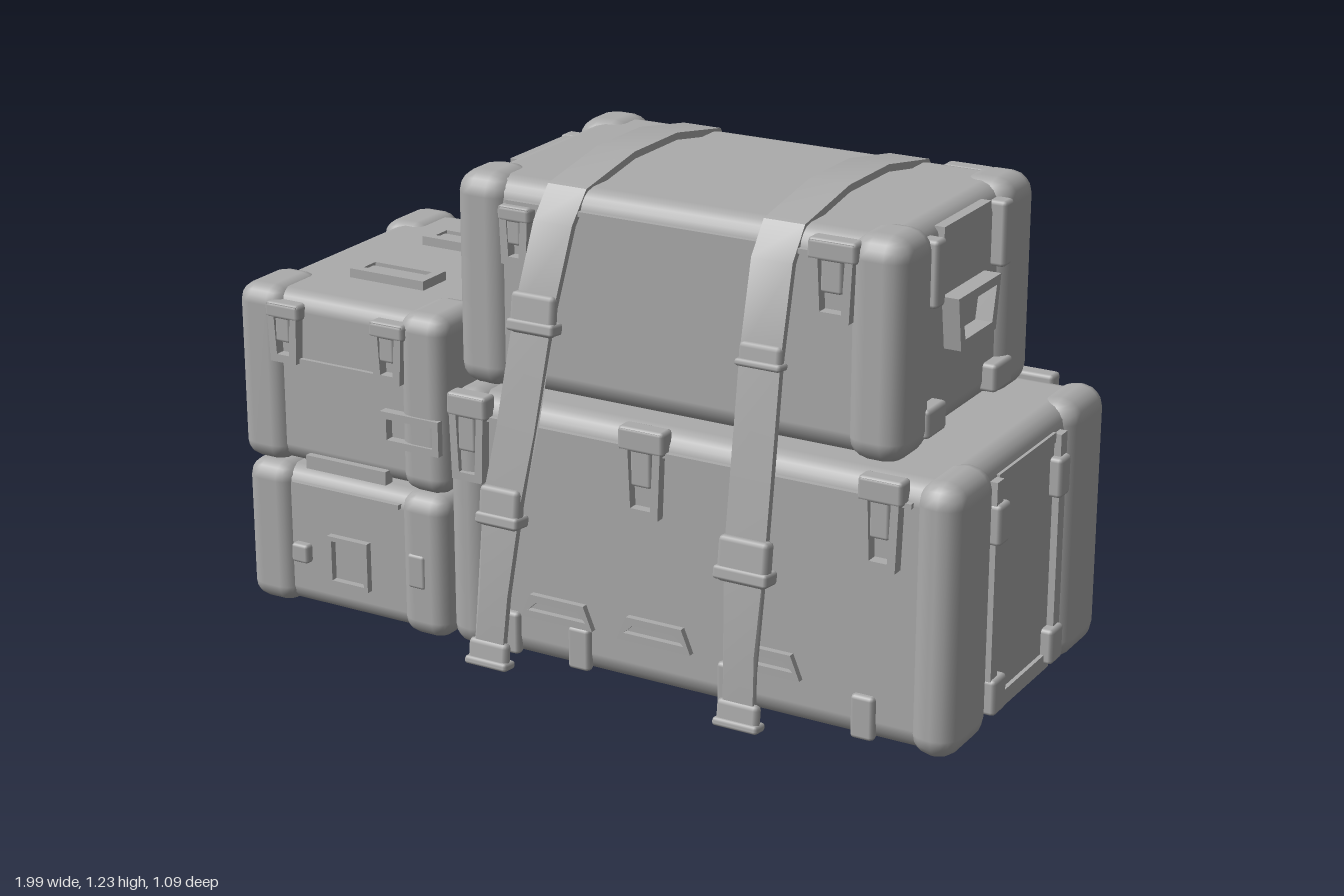
import * as THREE from 'three';
import { RoundedBoxGeometry } from 'three/addons/geometries/RoundedBoxGeometry.js';
import { toCreasedNormals } from 'three/addons/utils/BufferGeometryUtils.js';

const grey = new THREE.MeshStandardMaterial({ color: 0xababab });
grey.name = 'case grey';

function add(parent, name, geometry, x = 0, y = 0, z = 0) {
  const mesh = new THREE.Mesh(geometry, grey);
  mesh.name = name;
  mesh.position.set(x, y, z);
  parent.add(mesh);
  return mesh;
}

// Box given by its limits, with rounded edges when r > 0
function block(parent, name, [x0, x1], [y0, y1], [z0, z1], r = 0) {
  const w = x1 - x0, h = y1 - y0, d = z1 - z0;
  const geometry = r ? new RoundedBoxGeometry(w, h, d, 2, r) : new THREE.BoxGeometry(w, h, d);
  return add(parent, name, geometry, (x0 + x1) / 2, (y0 + y1) / 2, (z0 + z1) / 2);
}

// Trapezoid frame with an opening, centred in depth
function frameGeometry(top, bottom, h, border, depth) {
  const outline = (Path, b) => {
    const p = new Path();
    p.moveTo(-bottom / 2 + b, -h / 2 + b);
    p.lineTo(bottom / 2 - b, -h / 2 + b);
    p.lineTo(top / 2 - b, h / 2 - b);
    p.lineTo(-top / 2 + b, h / 2 - b);
    p.closePath();
    return p;
  };
  const shape = outline(THREE.Shape, 0);
  shape.holes.push(outline(THREE.Path, border));
  const g = new THREE.ExtrudeGeometry(shape, { depth, bevelEnabled: false });
  return g.translate(0, 0, -depth / 2);
}

// Case shell: recessed core, four corner bumpers and a lid lip
function makeCase(root, name, [x0, x1], [y0, y1], d, px, pz, r, lipY) {
  const g = new THREE.Group();
  g.name = name;
  root.add(g);
  const i = 0.028;
  block(g, 'shell', [x0 + i, x1 - i], [y0 + 0.006, y1 - 0.008], [-d + 0.018, d - 0.018], r);
  for (const s of [1, -1]) {
    const zs = s > 0 ? [d - pz, d] : [-d, -d + pz];
    block(g, 'cornerBumper', [x0, x0 + px], [y0, y1], zs, r);
    block(g, 'cornerBumper', [x1 - px, x1], [y0, y1], zs, r);
    const zf = s * (d - 0.015);
    block(g, 'lidLip', [x0 + px, x1 - px], [lipY, lipY + 0.012], [zf - 0.008, zf + 0.008]);
  }
  return g;
}

// Latch with a raised frame, tongue and hinge clip, on front and back
function latches(g, x, y0, y1, z, w = 0.1) {
  const h = y1 - y0;
  for (const s of [1, -1]) {
    add(g, 'latchFrame', frameGeometry(w, w * 0.85, h, 0.02, 0.03), x, y0 + h / 2, s * (z - 0.008));
    add(g, 'latchTongue', new RoundedBoxGeometry(w * 0.5, h * 0.55, 0.04, 1, 0.008), x, y0 + h * 0.62, s * (z - 0.014));
    add(g, 'latchClip', new RoundedBoxGeometry(w * 1.12, h * 0.28, 0.05, 1, 0.01), x, y1 - h * 0.12, s * (z - 0.016));
  }
}

function lerpTable(table, y) {
  for (let i = 0; i < table.length - 1; i++) {
    const [a, va] = table[i], [b, vb] = table[i + 1];
    if (y <= b) return va + (vb - va) * Math.max(0, (y - a) / (b - a));
  }
  return table[table.length - 1][1];
}

// Strap draped over the stack: a z-y band extruded in x, then shifted sideways by height
function strap(root, drift, buckles) {
  const g = new THREE.Group();
  g.name = 'strap';
  root.add(g);
  const half = [[0.518, 0.05], [0.512, 0.22], [0.488, 0.46], [0.462, 0.63], [0.42, 0.91],
    [0.368, 1.12], [0.315, 1.19], [0.1, 1.228]];
  const path = [...half, ...half.slice().reverse().map(([z, y]) => [-z, y])]
    .map(([z, y]) => new THREE.Vector2(z, y));
  const t = 0.009;
  const side = (sign) => path.map((p, i) => {
    const a = path[Math.max(i - 1, 0)], b = path[Math.min(i + 1, path.length - 1)];
    const n = b.clone().sub(a).normalize();
    return new THREE.Vector2(p.x + n.y * t * sign, p.y - n.x * t * sign);
  });
  const shape = new THREE.Shape([...side(1), ...side(-1).reverse()]);
  const geo = new THREE.ExtrudeGeometry(shape, { depth: 1, bevelEnabled: false });
  geo.translate(0, 0, -0.5).rotateY(-Math.PI / 2);
  const p = geo.attributes.position;
  for (let i = 0; i < p.count; i++) {
    const y = p.getY(i), w = y < 0.4 ? 0.078 : 0.105;
    p.setX(i, lerpTable(drift, y) + p.getX(i) * w);
  }
  geo.computeVertexNormals();
  add(g, 'strapBand', toCreasedNormals(geo, 0.5));
  const table = half.map(([z, y]) => [y, z]);
  for (const s of [1, -1]) for (const [y, w, h, d] of buckles) {
    const x = lerpTable(drift, y), z = lerpTable(table, y) + 0.004;
    const b = add(g, 'buckle', new RoundedBoxGeometry(w, h, d, 1, 0.012), x, y, s * z);
    b.rotation.x = -s * 0.12;
    const bar = add(g, 'buckleBar', new RoundedBoxGeometry(w * 1.08, h * 0.3, d + 0.02, 1, 0.008), x, y - h * 0.3, s * z);
    bar.rotation.x = -s * 0.12;
  }
}

export function createModel() {
  const root = new THREE.Group();
  root.name = 'stackedCases';

  // Large lower case
  const lower = makeCase(root, 'largeCase', [-0.375, 0.99], [0.01, 0.68], 0.425, 0.12, 0.215, 0.055, 0.615);
  latches(lower, 0.18, 0.46, 0.675, 0.425, 0.11);
  latches(lower, 0.8, 0.46, 0.675, 0.43, 0.1);
  latches(lower, -0.3, 0.46, 0.675, 0.43, 0.1);
  for (const s of [1, -1]) {
    for (const x of [0.21, -0.06, 0.5]) {
      add(lower, 'footGrip', frameGeometry(0.15, 0.2, 0.06, 0.018, 0.03), x, 0.165, s * 0.408);
    }
    for (const x of [-0.2, 0.0, 0.41, 0.76]) {
      add(lower, 'baseClip', new RoundedBoxGeometry(0.06, 0.11, 0.03, 1, 0.01), x, 0.08, s * 0.408);
    }
    // End rails with clips
    for (const x of [0.962, -0.347]) {
      add(lower, 'endRail', new THREE.BoxGeometry(0.035, 0.57, 0.035), x, 0.34, s * 0.18);
      add(lower, 'railClip', new RoundedBoxGeometry(0.06, 0.1, 0.06, 1, 0.01), x, 0.52, s * 0.172);
      add(lower, 'railFoot', new RoundedBoxGeometry(0.06, 0.09, 0.07, 1, 0.01), x, 0.09, s * 0.165);
    }
  }
  block(lower, 'endLip', [0.94, 0.967], [0.605, 0.63], [-0.16, 0.16]);
  block(lower, 'endSill', [0.93, 0.972], [0.03, 0.07], [-0.16, 0.16]);

  // Upper case
  const upper = makeCase(root, 'upperCase', [-0.38, 0.812], [0.672, 1.205], 0.36, 0.15, 0.175, 0.055, 1.14);
  latches(upper, 0.635, 1.0, 1.185, 0.363, 0.11);
  latches(upper, -0.2, 1.0, 1.14, 0.363, 0.08);
  for (const x of [0.8, -0.368]) {
    const handle = add(upper, 'endHandle', frameGeometry(0.23, 0.19, 0.13, 0.022, 0.055), x, 0.945, -0.008);
    handle.rotation.y = Math.PI / 2;
    for (const s of [1, -1]) {
      add(upper, 'endClip', new RoundedBoxGeometry(0.05, 0.07, 0.1, 1, 0.01), x - 0.006, 0.742, s * 0.182);
      add(upper, 'endLatch', new RoundedBoxGeometry(0.05, 0.16, 0.05, 1, 0.01), x - 0.006, 1.09, s * 0.182);
    }
    add(upper, 'endLip', new THREE.BoxGeometry(0.03, 0.05, 0.25), x - Math.sign(x) * 0.02, 1.155, 0);
  }

  // Small cases, one on the other
  const smallTop = makeCase(root, 'smallUpperCase', [-1, -0.38], [0.383, 0.842], 0.41, 0.14, 0.2, 0.045, 0.66);
  const smallBase = makeCase(root, 'smallLowerCase', [-0.99, -0.385], [0.003, 0.38], 0.415, 0.14, 0.2, 0.045, 0.33);
  latches(smallTop, -0.85, 0.66, 0.81, 0.412, 0.09);
  latches(smallTop, -0.54, 0.66, 0.81, 0.412, 0.09);
  for (const s of [1, -1]) {
    // Lid grips
    const grip = add(smallTop, 'lidGrip', frameGeometry(0.22, 0.22, 0.1, 0.025, 0.035), -0.68, 0.84, s * 0.16);
    grip.rotation.x = -Math.PI / 2;
    add(smallTop, 'lidGripPad', new RoundedBoxGeometry(0.19, 0.03, 0.05, 1, 0.008), -0.68, 0.836, s * 0.16);
    add(smallTop, 'baseSill', new THREE.BoxGeometry(0.24, 0.035, 0.03), -0.68, 0.405, s * 0.393);
    add(smallTop, 'sideGrip', frameGeometry(0.17, 0.17, 0.09, 0.018, 0.03), -0.48, 0.54, s * 0.402);
    // Front plates
    add(smallBase, 'frontPlate', frameGeometry(0.12, 0.12, 0.13, 0.012, 0.03), -0.68, 0.155, s * 0.4);
    add(smallBase, 'smallClip', new RoundedBoxGeometry(0.05, 0.05, 0.03, 1, 0.008), -0.825, 0.155, s * 0.405);
    add(smallBase, 'smallClip', new RoundedBoxGeometry(0.05, 0.09, 0.03, 1, 0.008), -0.47, 0.18, s * 0.405);
    for (const [g, y] of [[smallTop, 0.7], [smallBase, 0.24]]) {
      add(g, 'endClip', new RoundedBoxGeometry(0.03, 0.12, 0.05, 1, 0.008), -0.973, y, s * 0.2);
    }
  }

  // Straps
  strap(root, [[0.05, -0.19], [0.2, -0.175], [0.4, -0.17], [0.65, -0.135], [0.88, -0.115], [1.05, -0.09], [1.22, -0.08]],
    [[0.065, 0.11, 0.07, 0.028], [0.44, 0.11, 0.1, 0.04], [0.91, 0.12, 0.1, 0.03]]);
  strap(root, [[0.05, 0.495], [1.22, 0.49]],
    [[0.065, 0.11, 0.07, 0.028], [0.44, 0.13, 0.11, 0.04], [0.91, 0.11, 0.06, 0.025]]);

  return root;
}
